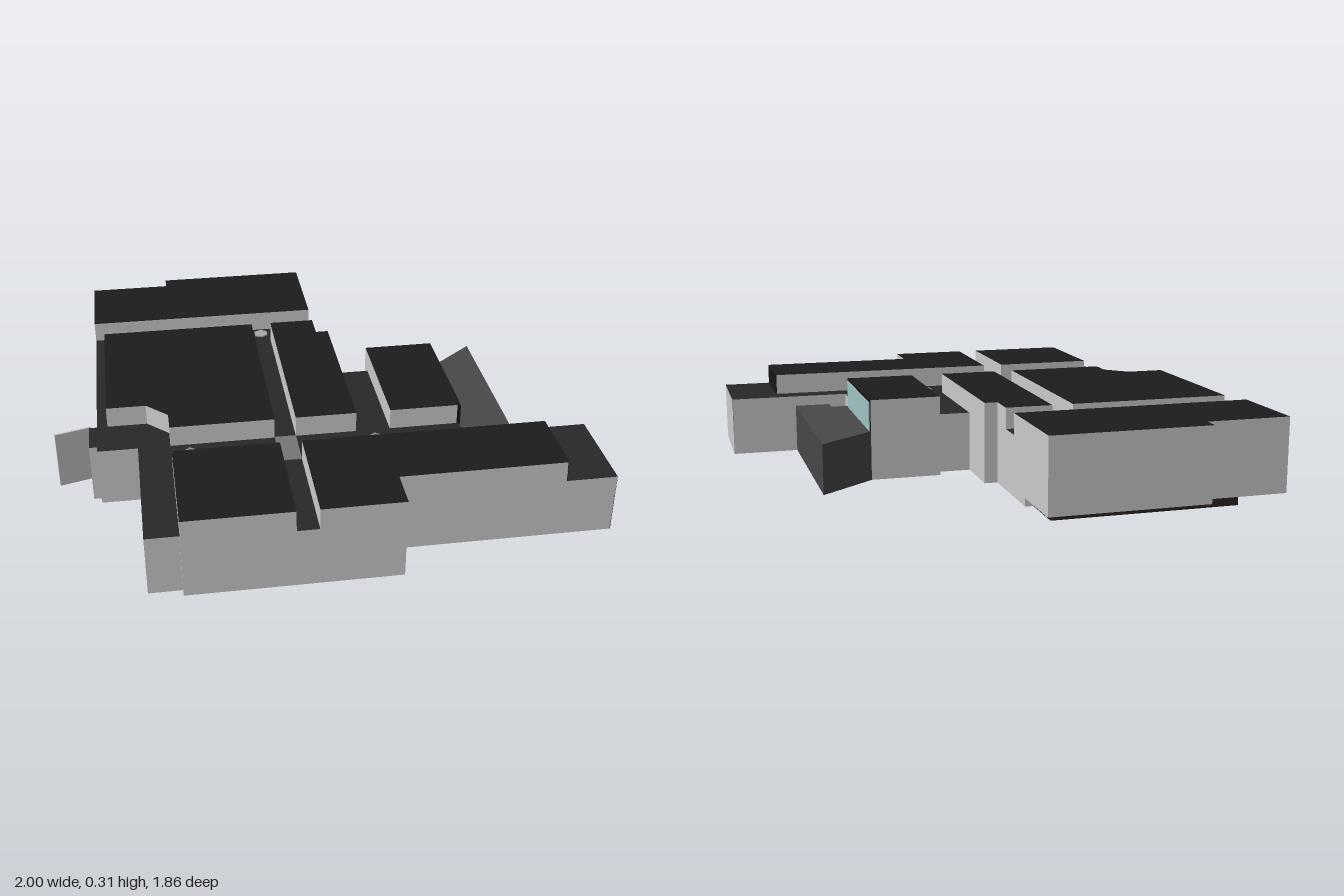
import * as THREE from 'three';

const mat = (color, side = THREE.FrontSide) => new THREE.MeshStandardMaterial({ color, side });
const wall = mat(0xcccccc);
const roof = mat(0x1c1c1c);
const terrace = mat(0x282828);
const dark = mat(0x161616);
const porchMat = mat(0x484848, THREE.DoubleSide);
const glass = mat(0x9fc4c2);

export function createModel() {
  const group = new THREE.Group();

  const add = (name, geometry, material) => {
    const mesh = new THREE.Mesh(geometry, material);
    mesh.name = name;
    group.add(mesh);
    return mesh;
  };

  // Upright prism over an [x, z] floor plan
  const prism = (name, plan, y0, y1, cap = roof, side = wall) => {
    const shape = new THREE.Shape(plan.map(([x, z]) => new THREE.Vector2(x, -z)));
    const geo = new THREE.ExtrudeGeometry(shape, { depth: y1 - y0, bevelEnabled: false });
    geo.rotateX(-Math.PI / 2).translate(0, y0, 0);
    return add(name, geo, [cap, side]);
  };

  const box = (name, x0, x1, y0, y1, z0, z1, material) => {
    const geo = new THREE.BoxGeometry(x1 - x0, y1 - y0, z1 - z0);
    geo.translate((x0 + x1) / 2, (y0 + y1) / 2, (z0 + z1) / 2);
    return add(name, geo, material);
  };

  const rect = (x0, x1, z0, z1) => [[x0, z0], [x1, z0], [x1, z1], [x0, z1]];

  const low = 0.23, high = 0.31;

  // Main storey with its flat terrace roof
  prism('mainStorey', [
    [-0.84, -0.68], [0.08, -0.68], [0.08, -0.33], [0.13, -0.33], [0.13, -0.11], [0.26, -0.11],
    [0.26, -0.16], [0.53, -0.16], [0.53, 0.42], [1, 0.42], [1, 0.78], [0.2, 0.78],
    [0.2, 0.93], [-0.57, 0.93], [-0.57, 0.9], [-0.69, 0.9], [-0.69, 0.34], [-0.84, 0.34],
    [-0.84, 0.31], [-0.87, 0.31], [-0.87, 0.17], [-0.8, 0.17], [-0.8, -0.44], [-0.84, -0.44],
  ], 0, low, terrace);

  // Rear wing, raised slightly above the ground
  prism('rearWing', [
    [-0.84, -0.87], [-0.52, -0.87], [-0.52, -0.93], [0.08, -0.93], [0.08, -0.54], [-0.84, -0.54],
  ], 0.03, high);

  // Raised roof blocks
  prism('mainRoofBlock', [
    [-0.8, -0.44], [-0.18, -0.44], [-0.18, 0.34], [-0.57, 0.34], [-0.57, 0.25], [-0.65, 0.17], [-0.8, 0.17],
  ], low, high);
  prism('centreRoofBlock', [
    [-0.1, -0.44], [0.08, -0.44], [0.08, -0.33], [0.13, -0.33], [0.13, 0.34], [-0.1, 0.34],
  ], low, high);
  prism('sideRoofBlock', rect(0.26, 0.53, -0.16, 0.34), low, high);
  prism('frontRoofBlockRight', rect(-0.57, -0.18, 0.5, 0.93), low, high);
  prism('frontRoofBlockLeft', [
    [-0.1, 0.5], [0.81, 0.5], [0.81, 0.78], [0.2, 0.78], [0.2, 0.93], [-0.1, 0.93],
  ], low, high);

  // Dark end walls
  box('endWall', 0.998, 1, 0, low, 0.42, 0.78, dark);
  box('upperEndWall', 0.808, 0.812, low, high, 0.5, 0.78, dark);

  // Ribbed wall under an overhanging eave on the right side
  box('eave', -0.84, -0.8, 0.215, low, -0.44, 0.17, terrace);
  for (let i = 0; i < 16; i++) {
    const z = -0.42 + i * 0.038;
    box('wallRib', -0.83, -0.8, 0, 0.215, z, z + 0.012, wall);
  }

  // Thin angled screen beside the entrance
  const screen = add('screenPanel', new THREE.BoxGeometry(0.14, low, 0.008), wall);
  screen.position.set(-0.931, low / 2, 0.18);
  screen.rotation.y = 0.27;

  // Large window in the left side, with its frame
  box('windowFrame', 0.52, 0.532, 0.19, high, -0.16, 0.345, dark);
  box('window', 0.525, 0.536, 0, 0.3, -0.15, 0.33, glass);

  // Covered porch: thin roof and walls, open underneath
  const plan = [[0.53, -0.16], [0.74, -0.33], [0.74, 0.42], [0.6, 0.42], [0.6, 0.36], [0.53, 0.36]];
  const porchShape = new THREE.Shape(plan.map(([x, z]) => new THREE.Vector2(x, -z)));
  add('porchRoof', new THREE.ShapeGeometry(porchShape).rotateX(-Math.PI / 2).translate(0, 0.19, 0), porchMat);
  for (let i = 0; i < 2; i++) {
    const [[x0, z0], [x1, z1]] = [plan[i], plan[i + 1]];
    const panel = add('porchWall', new THREE.PlaneGeometry(Math.hypot(x1 - x0, z1 - z0), 0.19), porchMat);
    panel.position.set((x0 + x1) / 2, 0.095, (z0 + z1) / 2);
    panel.rotation.y = -Math.atan2(z1 - z0, x1 - x0);
  }

  // Pale walkway patch between the roof blocks
  box('walkway', -0.18, -0.1, low, low + 0.003, 0.34, 0.5, mat(0x777777));

  // Six-sided roof lights
  const roofLight = (x, z, sx, sz, color) => {
    const light = add('roofLight', new THREE.CylinderGeometry(0.03, 0.03, 0.006, 6), mat(color));
    light.position.set(x, low + 0.003, z);
    light.scale.set(sx, 1, sz);
  };
  for (const x of [-0.55, -0.135]) roofLight(x, -0.495, 1, 1, 0xaaaaaa);
  for (const x of [-0.5, 0.195]) roofLight(x, 0.42, 1.3, 1.7, 0x8f7f7f);

  // Stepped plinth beneath the rear wing
  const plinth = mat(0x2c2420);
  box('plinthUpper', -0.65, 0.05, 0.012, 0.03, -0.87, -0.68, plinth);
  box('plinthLower', -0.65, 0.05, 0, 0.012, -0.87, -0.66, plinth);

  return group;
}
